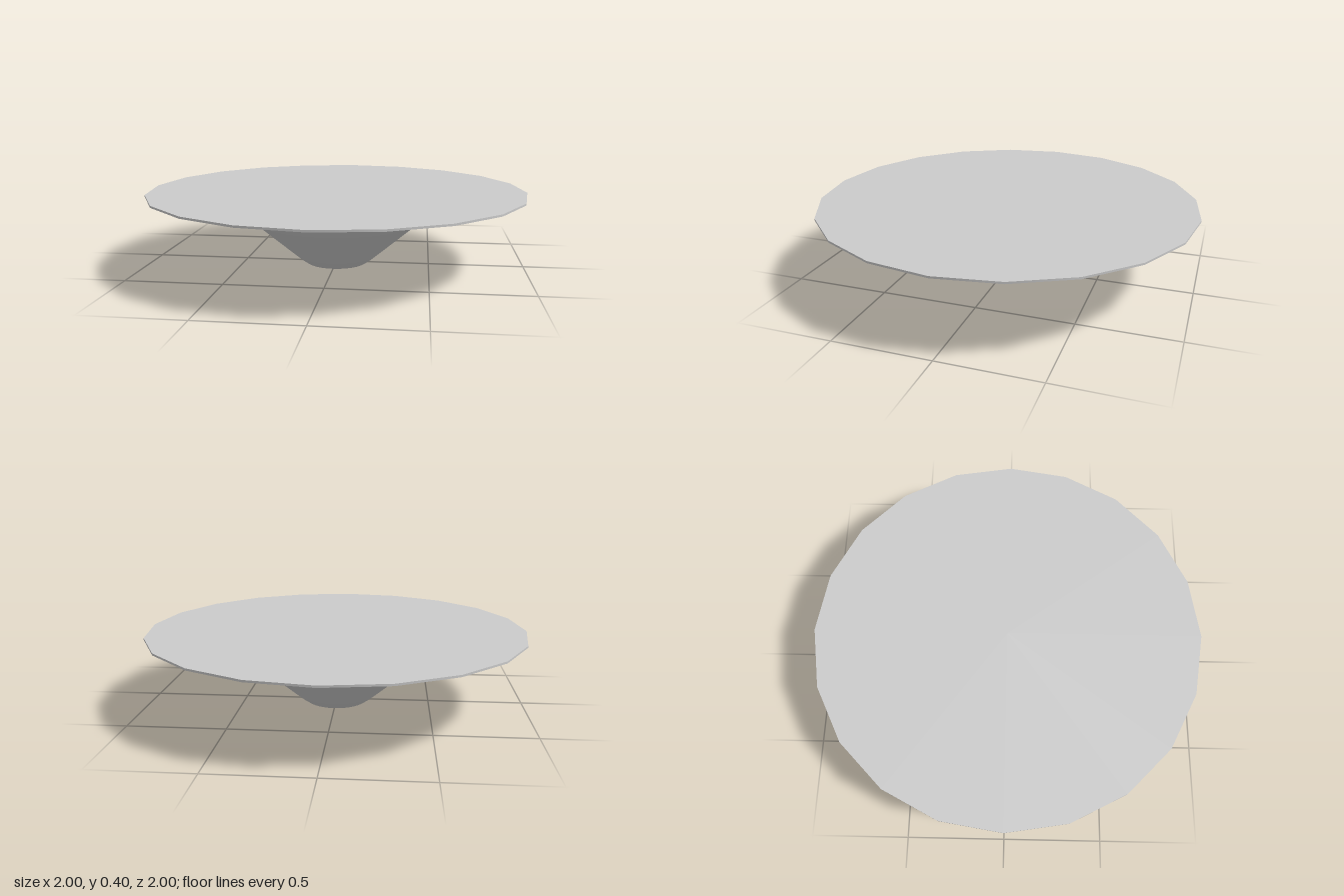
import * as THREE from 'three';

export function createModel() {
  const group = new THREE.Group();
  const material = new THREE.MeshStandardMaterial({ color: 0xcccccc });
  const add = (name, geometry, y = 0) => {
    const mesh = new THREE.Mesh(geometry, material);
    mesh.name = name;
    mesh.position.y = y;
    group.add(mesh);
    return mesh;
  };

  // Thin twenty-sided top
  const height = 0.4, thickness = 0.01;
  add('topDisc', new THREE.CylinderGeometry(1, 1, thickness, 20), height - thickness / 2);

  // Flared funnel that carries the disc
  const profile = [
    [0.163, 0], [0.195, 0.022], [0.23, 0.051], [0.41, 0.205], [0.46, 0.257],
    [0.5, 0.296], [0.535, 0.322], [0.575, 0.342], [0.64, 0.363], [0.73, 0.391],
  ].map(([r, y]) => new THREE.Vector2(r, y));
  add('flaredBase', new THREE.LatheGeometry(profile, 64));

  // Flat foot closing the funnel
  add('foot', new THREE.CircleGeometry(profile[0].x, 64).rotateX(Math.PI / 2));

  return group;
}
